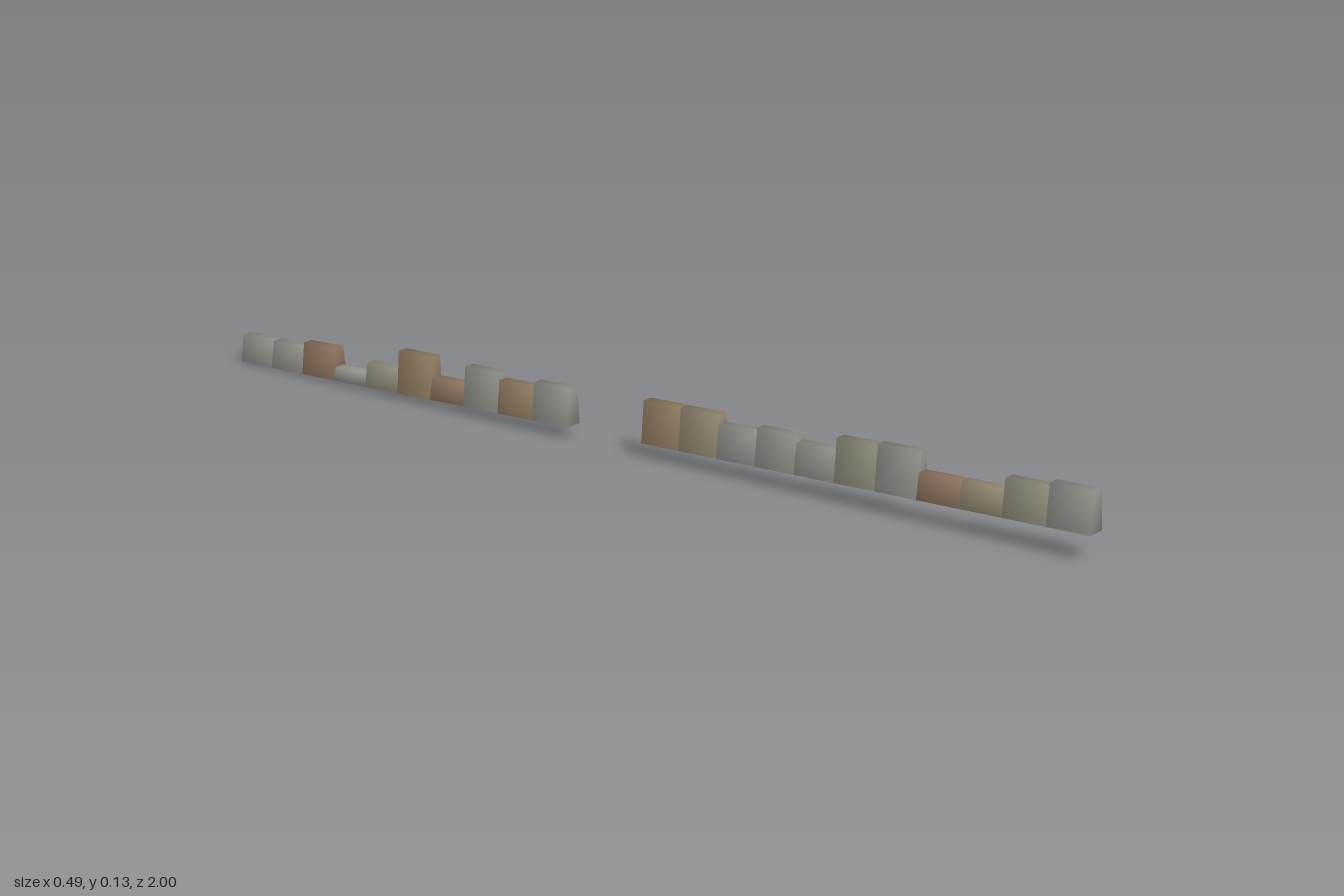
import * as THREE from 'three';
import { mergeVertices } from 'three/addons/utils/BufferGeometryUtils.js';

const BASE_WIDTH = 0.04;
const TOP_WIDTH = 0.024;

const COLORS = {
  grey: 0x9e9e98,
  olive: 0x9c9a86,
  tan: 0xa0957c,
  sand: 0xa08a6c,
  brown: 0x9c7f6a,
};

// One smooth-shaded stone, tapering upward, spanning two points on the ground line
function stoneGeometry(from, to, height) {
  const box = new THREE.BoxGeometry(1, 1, 1);
  box.deleteAttribute('normal');
  box.deleteAttribute('uv');
  const geometry = mergeVertices(box);
  const along = to.clone().sub(from).setY(0).normalize();
  const side = new THREE.Vector3(along.z, 0, -along.x);
  const pos = geometry.attributes.position;
  const p = new THREE.Vector3();
  for (let i = 0; i < pos.count; i++) {
    const up = pos.getY(i) > 0;
    const s = pos.getX(i) * (up ? TOP_WIDTH : BASE_WIDTH);
    p.lerpVectors(from, to, pos.getZ(i) + 0.5).addScaledVector(side, s);
    if (up) p.y += height;
    pos.setXYZ(i, p.x, p.y, p.z);
  }
  geometry.computeVertexNormals();
  return geometry;
}

// A row of stones following a sloping ground line
function wall(name, start, end, stones) {
  const group = new THREE.Group();
  group.name = name;
  stones.forEach(([height, color], i) => {
    const from = start.clone().lerp(end, i / stones.length);
    const to = start.clone().lerp(end, (i + 1) / stones.length);
    const material = new THREE.MeshStandardMaterial({ color: COLORS[color] });
    const stone = new THREE.Mesh(stoneGeometry(from, to, height), material);
    stone.name = 'stone' + (i + 1);
    group.add(stone);
  });
  return group;
}

export function createModel() {
  const model = new THREE.Group();
  model.name = 'stoneWalls';

  // Front wall, from the gap outward: height and colour of each stone
  model.add(wall('frontWall',
    new THREE.Vector3(0.0115, 0.027, 0.047), new THREE.Vector3(0.2235, 0.051, 0.996), [
      [0.084, 'sand'], [0.084, 'tan'], [0.066, 'grey'], [0.074, 'grey'],
      [0.061, 'grey'], [0.085, 'olive'], [0.088, 'grey'], [0.05, 'brown'],
      [0.05, 'tan'], [0.072, 'olive'], [0.079, 'grey'],
    ]));

  // Back wall, from the gap outward
  model.add(wall('backWall',
    new THREE.Vector3(-0.0295, 0.024, -0.129), new THREE.Vector3(-0.2235, 0, -0.996), [
      [0.077, 'grey'], [0.067, 'sand'], [0.082, 'grey'], [0.045, 'brown'],
      [0.088, 'sand'], [0.049, 'olive'], [0.027, 'grey'], [0.067, 'brown'],
      [0.057, 'grey'], [0.059, 'grey'],
    ]));

  return model;
}
